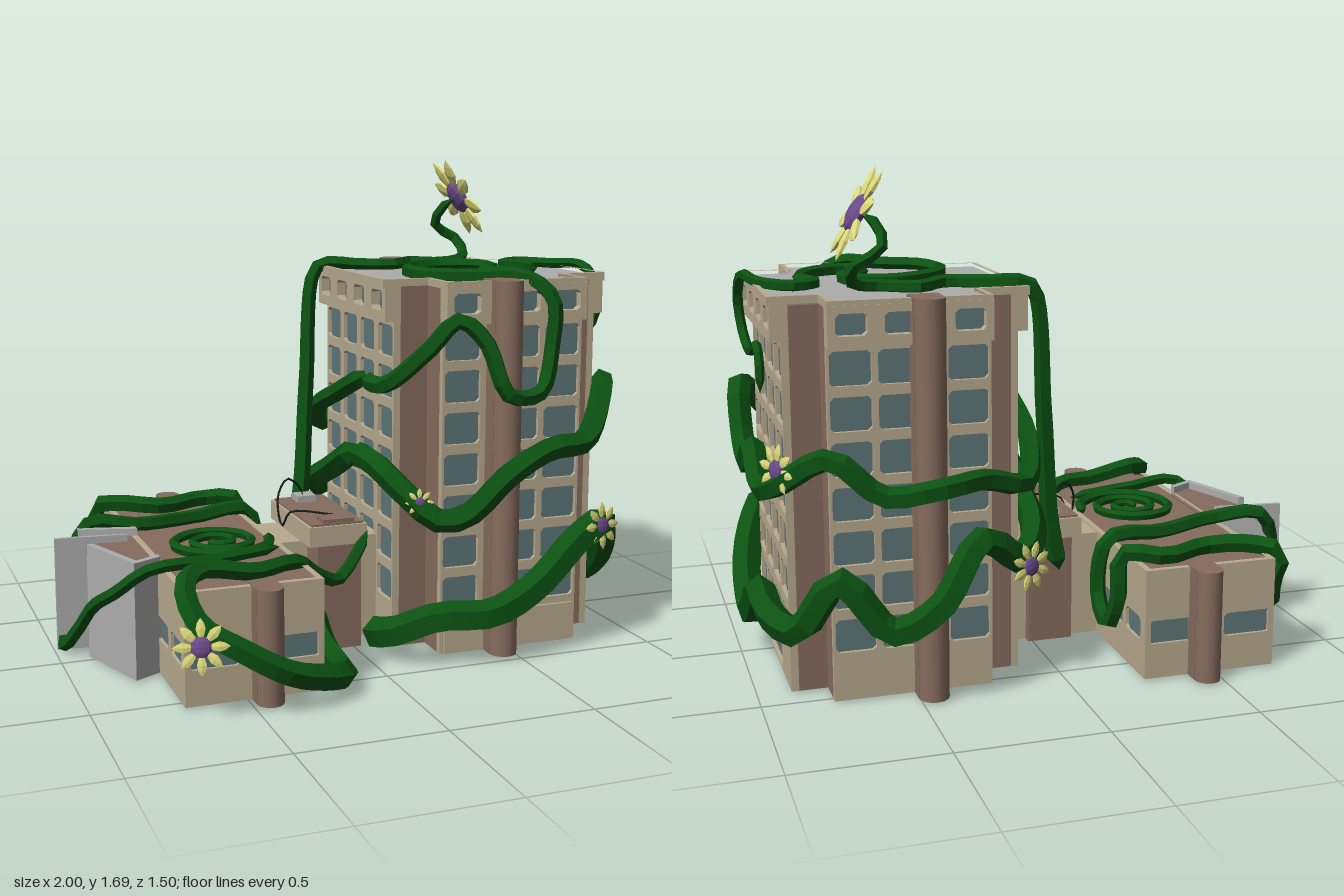
import * as THREE from 'three';

const mat = (color, extra = {}) => {
  const m = new THREE.MeshStandardMaterial({ flatShading: true, ...extra });
  m.color.set(color);
  return m;
};
const BEIGE = mat(0xb8aa8e), BROWN = mat(0x866c5e), GLASS = mat(0x5f777b), GREY = mat(0xadadad);
const VINE = mat(0x0c5212), PETAL = mat(0xdedb7c), PURPLE = mat(0x6b4a8a), DARK = mat(0x152018);

function add(parent, name, geo, material) {
  const m = new THREE.Mesh(geo, material);
  m.name = name;
  parent.add(m);
  return m;
}

// Box given by its limits on each axis
function block(parent, name, material, x0, x1, y0, y1, z0, z1) {
  const m = add(parent, name, new THREE.BoxGeometry(x1 - x0, y1 - y0, z1 - z0), material);
  m.position.set((x0 + x1) / 2, (y0 + y1) / 2, (z0 + z1) / 2);
  return m;
}

const path = (pts, C = THREE.Shape) => new C(pts.map(p => new THREE.Vector2(p[0], p[1])));
const rect = (x0, x1, y0, y1) => [[x0, y0], [x1, y0], [x1, y1], [x0, y1]];

// Plan outline [x, z] raised from y0 to y1
function prism(parent, name, material, plan, y0, y1, hole) {
  const s = path(plan.map(([x, z]) => [x, -z]));
  if (hole) s.holes.push(path(hole.map(([x, z]) => [x, -z]), THREE.Path));
  const g = new THREE.ExtrudeGeometry(s, { depth: y1 - y0, bevelEnabled: false });
  g.rotateX(-Math.PI / 2);
  const m = add(parent, name, g, material);
  m.position.y = y0;
  return m;
}

// Wall slab with window openings and glass set back inside them
function wall(parent, name, w, y0, y1, depth, openings, x, z, rot) {
  const g = new THREE.Group();
  g.name = name;
  const s = path(rect(-w / 2, w / 2, y0, y1));
  for (const [cx, ww, a, b] of openings) {
    const l = cx - ww / 2, r = cx + ww / 2, c = 0.012;
    s.holes.push(path([[l + c, a], [r - c, a], [r, a + c], [r, b - c], [r - c, b], [l + c, b], [l, b - c], [l, a + c]], THREE.Path));
    block(g, 'windowGlass', GLASS, l - 0.004, r + 0.004, a - 0.004, b + 0.004, 0, depth * 0.45);
  }
  add(g, 'wallPanel', new THREE.ExtrudeGeometry(s, { depth, bevelEnabled: false }), BEIGE);
  g.position.set(x, 0, z);
  g.rotation.y = rot;
  parent.add(g);
}

// Faceted tapering stem through a few points
function vine(parent, name, pts, r0, r1, material = VINE, sides = 5) {
  const curve = new THREE.CatmullRomCurve3(pts.map(p => new THREE.Vector3(...p)), false, 'centripetal');
  const seg = pts.length * 3;
  const geo = new THREE.TubeGeometry(curve, seg, 1, sides, false);
  const pos = geo.attributes.position, v = new THREE.Vector3();
  for (let i = 0; i <= seg; i++) {
    const c = curve.getPointAt(i / seg);
    const r = i === 0 || i === seg ? 0.001 : r0 + (r1 - r0) * i / seg;
    for (let j = 0; j <= sides; j++) {
      const k = i * (sides + 1) + j;
      v.fromBufferAttribute(pos, k).sub(c).multiplyScalar(r).add(c);
      pos.setXYZ(k, v.x, v.y, v.z);
    }
  }
  geo.computeVertexNormals();
  return add(parent, name, geo, material);
}

// Eight pointed petals round a domed centre, facing a given direction
function flower(parent, at, facing, r) {
  const g = new THREE.Group();
  g.name = 'flower';
  const profile = [[0, 0.2], [0.13, 0.4], [0.2, 0.62], [0.14, 0.82], [0, 1]].map(p => new THREE.Vector2(...p));
  for (let i = 0; i < 8; i++) {
    const p = add(g, 'petal', new THREE.LatheGeometry(profile, 6), PETAL);
    p.scale.set(r, r, r * 0.35);
    p.rotation.z = i * Math.PI / 4;
  }
  add(g, 'flowerCentre', new THREE.SphereGeometry(r * 0.38, 10, 6), PURPLE).scale.z = 0.4;
  g.position.set(...at);
  g.quaternion.setFromUnitVectors(new THREE.Vector3(0, 0, 1), new THREE.Vector3(...facing).normalize());
  parent.add(g);
}

// Round-fronted pier; dir is the way it bulges in z
function pier(parent, x, z, back, r, y0, y1) {
  const c = add(parent, 'pierRound', new THREE.CylinderGeometry(r, r, y1 - y0, 14), mat(0x866c5e, { flatShading: false }));
  c.position.set(x, (y0 + y1) / 2, z);
  block(parent, 'pierBody', BROWN, x - r, x + r, y0, y1, Math.min(z, back), Math.max(z, back));
}

const cross = (i) => {
  const [a, b, c, d] = [0.08 + i, 0.245 + i, 0.77 - i, 0.93 - i];
  const [e, f, g, h] = [-0.57 + i, -0.42 + i, 0.245 - i, 0.405 - i];
  return [[a, f], [b, f], [b, e], [c, e], [c, f], [d, f], [d, g], [c, g], [c, h], [b, h], [b, g], [a, g]];
};

function tower() {
  const t = new THREE.Group();
  t.name = 'tower';
  block(t, 'coreWide', BROWN, 0.145, 0.865, 0.03, 1.3, -0.42, 0.245);
  block(t, 'coreDeep', BROWN, 0.245, 0.77, 0.03, 1.3, -0.515, 0.35);
  const side = [-0.255, -0.085, 0.085, 0.255], front = [-0.188, 0.035, 0.188];
  const faces = [
    ['frontFacade', 0.525, front, 0.5075, 0.35, 0],
    ['backFacade', 0.525, front.map(v => -v), 0.5075, -0.515, Math.PI],
    ['leftFacade', 0.665, side, 0.865, -0.0875, Math.PI / 2],
    ['rightFacade', 0.665, side, 0.145, -0.0875, -Math.PI / 2],
  ];
  for (const [name, w, cols, x, z, rot] of faces) {
    const open = [], small = [];
    for (const c of cols) {
      for (let k = 0; k < 7; k++) open.push([c, 0.132, 1.055 - k * 0.144, 1.165 - k * 0.144]);
      small.push([c, 0.1, 1.215, 1.285]);
    }
    if (w > 0.6) open.push([0, 0.28, 0.04, 0.17]);
    wall(t, name, w, 0.03, 1.19, 0.025, open, x, z, rot);
    wall(t, name + 'Parapet', w, 1.18, 1.31, 0.058, small, x, z, rot);
  }
  block(t, 'frontBasePanel', BEIGE, 0.26, 0.755, 0.03, 0.165, 0.35, 0.385);
  prism(t, 'roof', GREY, cross(0.01), 1.295, 1.312);
  prism(t, 'roofRim', BEIGE, cross(0), 1.295, 1.325, cross(0.018));
  pier(t, 0.457, 0.435, 0.34, 0.05, 0.03, 1.328);
  pier(t, 0.457, -0.595, -0.5, 0.05, 0.03, 1.328);
  return t;
}

function annex() {
  const a = new THREE.Group();
  a.name = 'lowBuilding';
  block(a, 'core', BEIGE, -0.69, -0.265, 0.03, 0.385, -0.64, 0.54);
  const ends = [[-0.135, 0.17, 0.15, 0.23], [0.135, 0.17, 0.15, 0.23]];
  const long = [[-0.5, 0.13, 0.15, 0.23], [-0.3, 0.2, 0.15, 0.23], [0.3, 0.2, 0.15, 0.23], [0.5, 0.13, 0.15, 0.23]];
  wall(a, 'frontWall', 0.465, 0.03, 0.385, 0.02, ends, -0.4775, 0.54, 0);
  wall(a, 'backWall', 0.465, 0.03, 0.385, 0.02, ends, -0.4775, -0.64, Math.PI);
  wall(a, 'rightWall', 1.22, 0.03, 0.385, 0.02, long, -0.69, -0.05, -Math.PI / 2);
  wall(a, 'leftWall', 1.22, 0.03, 0.385, 0.02, long, -0.265, -0.05, Math.PI / 2);
  block(a, 'roof', BROWN, -0.7, -0.255, 0.38, 0.395, -0.65, 0.55);
  prism(a, 'roofRim', BEIGE, rect(-0.71, -0.245, -0.66, 0.56), 0.38, 0.405, rect(-0.688, -0.267, -0.638, 0.538));
  pier(a, -0.445, 0.61, 0.53, 0.045, 0.03, 0.41);
  pier(a, -0.445, -0.715, -0.63, 0.045, 0.03, 0.41);

  // Glazed porch with grey cheeks, canopy and fin
  prism(a, 'porchGlass', GLASS, [[-0.69, -0.17], [-0.86, -0.2], [-0.885, -0.08], [-0.79, 0.23], [-0.69, 0.19]], 0.03, 0.37);
  prism(a, 'porchCanopy', BROWN, [[-0.69, -0.17], [-0.87, -0.2], [-0.89, -0.08], [-0.79, 0.24], [-0.69, 0.19]], 0.37, 0.405);
  prism(a, 'porchBackCheek', GREY, [[-0.69, -0.195], [-0.89, -0.245], [-0.89, -0.22], [-0.69, -0.165]], 0.03, 0.43);
  prism(a, 'porchFrontCheek', GREY, [[-0.9, -0.02], [-0.8, 0.27], [-0.7, 0.215], [-0.7, 0.185], [-0.785, 0.235], [-0.875, -0.02]], 0.03, 0.43);
  prism(a, 'porchFin', GREY, [[-0.99, -0.14], [-0.74, -0.115], [-0.74, -0.1], [-0.99, -0.125]], 0.03, 0.43);
  return a;
}

function link() {
  const l = new THREE.Group();
  l.name = 'connector';
  block(l, 'passage', BEIGE, -0.26, 0.16, 0.03, 0.4, -0.19, 0.09);
  block(l, 'brownBay', BROWN, -0.14, 0.02, 0.03, 0.41, -0.22, 0.2);
  block(l, 'plantBox', BEIGE, -0.17, 0.04, 0.405, 0.475, -0.235, 0.205);
  block(l, 'plantBoxTop', BROWN, -0.16, 0.03, 0.47, 0.482, -0.225, 0.195);
  block(l, 'hatch', BROWN, -0.115, 0, 0.48, 0.495, 0.115, 0.19);
  block(l, 'roofUnit', GREY, -0.1, -0.03, 0.48, 0.505, -0.2, -0.13);
  vine(l, 'cable', [[-0.07, 0.5, -0.16], [-0.09, 0.54, -0.15], [-0.14, 0.575, -0.13], [-0.19, 0.52, -0.09], [-0.185, 0.42, -0.06],
    [-0.17, 0.485, 0], [-0.05, 0.485, 0.08], [0.01, 0.485, 0.14]], 0.004, 0.004, DARK);
  return l;
}

function plants() {
  const p = new THREE.Group();
  p.name = 'vines';
  // Tower vine: two turns up the walls, then over the roof
  vine(p, 'towerVineLower', [[0.03, 0.09, 0.22], [0.08, 0.13, 0.38], [0.2, 0.19, 0.46], [0.38, 0.2, 0.51], [0.56, 0.28, 0.49],
    [0.72, 0.41, 0.46], [0.84, 0.46, 0.42], [0.91, 0.38, 0.32], [0.95, 0.27, 0.2], [0.96, 0.17, 0.02], [0.96, 0.25, -0.14],
    [0.96, 0.33, -0.25], [0.95, 0.3, -0.42], [0.88, 0.28, -0.54], [0.76, 0.45, -0.61], [0.6, 0.28, -0.64], [0.45, 0.36, -0.68],
    [0.3, 0.55, -0.62], [0.15, 0.45, -0.54], [0.06, 0.5, -0.4], [0.04, 0.6, -0.15], [0.04, 0.72, 0.1]], 0.056, 0.046);
  vine(p, 'towerVineUpper', [[0.04, 0.7, 0.08], [0.05, 0.7, 0.24], [0.13, 0.6, 0.36], [0.22, 0.52, 0.42], [0.31, 0.54, 0.45],
    [0.43, 0.68, 0.51], [0.6, 0.75, 0.47], [0.77, 0.76, 0.42], [0.9, 0.89, 0.3], [0.95, 0.93, 0.21], [0.96, 0.77, 0.09],
    [0.96, 0.71, -0.04], [0.96, 0.8, -0.2], [0.96, 0.71, -0.38], [0.92, 0.75, -0.5], [0.78, 0.84, -0.6], [0.62, 0.72, -0.64],
    [0.45, 0.74, -0.68], [0.28, 0.74, -0.6], [0.13, 0.7, -0.53], [0.06, 0.8, -0.35], [0.05, 0.9, -0.08], [0.05, 0.99, 0.16]], 0.046, 0.034);
  vine(p, 'towerVineRoof', [[0.05, 0.98, 0.14], [0.07, 0.97, 0.28], [0.18, 1.1, 0.4], [0.28, 1.2, 0.43], [0.36, 1.13, 0.47],
    [0.43, 0.95, 0.51], [0.56, 0.95, 0.48], [0.62, 1.1, 0.44], [0.62, 1.26, 0.44], [0.55, 1.33, 0.38], [0.42, 1.33, 0.28],
    [0.29, 1.33, 0.2], [0.26, 1.33, 0.06], [0.33, 1.33, -0.1], [0.48, 1.33, -0.19], [0.61, 1.33, -0.14], [0.62, 1.33, -0.03],
    [0.53, 1.33, 0.08], [0.58, 1.33, 0.15], [0.7, 1.33, 0.1], [0.77, 1.33, -0.04], [0.73, 1.33, -0.17], [0.82, 1.33, -0.23],
    [0.91, 1.33, -0.12], [0.945, 1.33, 0.08], [0.95, 1.24, 0.16], [0.94, 1.14, 0.15], [0.93, 1.08, 0.06], [0.93, 1.1, -0.06],
    [0.93, 1.13, -0.15], [0.93, 1.08, -0.2], [0.93, 0.98, -0.2]], 0.032, 0.016);
  vine(p, 'flowerStem', [[-0.08, 0.3, -0.26], [-0.04, 0.5, -0.28], [0, 0.9, -0.33], [0.05, 1.31, -0.37], [0.1, 1.335, -0.37],
    [0.2, 1.33, -0.32], [0.33, 1.33, -0.27], [0.43, 1.33, -0.37], [0.55, 1.33, -0.31], [0.65, 1.35, -0.35],
    [0.65, 1.41, -0.42], [0.57, 1.46, -0.43], [0.57, 1.53, -0.38], [0.62, 1.57, -0.36]], 0.036, 0.018);

  // Low building vines
  vine(p, 'annexVineBack', [[-0.76, 0.17, -0.53], [-0.74, 0.3, -0.58], [-0.75, 0.41, -0.61], [-0.66, 0.43, -0.55], [-0.52, 0.42, -0.5],
    [-0.35, 0.42, -0.57], [-0.22, 0.42, -0.51], [-0.21, 0.26, -0.5], [-0.2, 0.15, -0.43], [-0.2, 0.22, -0.33],
    [-0.23, 0.42, -0.34], [-0.45, 0.42, -0.3], [-0.67, 0.43, -0.23], [-0.85, 0.44, -0.26], [-0.93, 0.25, -0.2], [-0.97, 0.05, -0.12],
    [-0.93, 0.15, 0], [-0.9, 0.25, 0.1], [-0.85, 0.33, 0.23], [-0.76, 0.42, 0.32], [-0.55, 0.42, 0.28], [-0.28, 0.42, 0.2]], 0.034, 0.02);
  vine(p, 'annexVineFront', [[-0.16, 0.22, 0.13], [-0.16, 0.1, 0.28], [-0.16, 0.07, 0.45], [-0.2, 0.09, 0.6], [-0.4, 0.15, 0.7],
    [-0.56, 0.24, 0.69], [-0.68, 0.32, 0.63], [-0.7, 0.42, 0.54], [-0.63, 0.45, 0.47], [-0.45, 0.42, 0.45], [-0.29, 0.42, 0.39],
    [-0.18, 0.34, 0.31], [-0.08, 0.3, 0.25], [0, 0.38, 0.22], [0.04, 0.45, 0.21]], 0.055, 0.02);
  const spiral = [];
  for (let i = 0; i <= 32; i++) {
    const a = i * 0.5, r = 0.185 * (1 - i / 36);
    spiral.push([-0.455 + r * Math.cos(a), 0.415, 0.045 + r * Math.sin(a)]);
  }
  vine(p, 'roofSpiral', spiral, 0.02, 0.014);

  flower(p, [0.635, 1.57, -0.37], [0.88, 0.47, 0], 0.17);
  flower(p, [0.82, 0.46, 0.47], [0.35, 0.1, 1], 0.085);
  flower(p, [0.15, 0.585, 0.41], [-0.3, 0.1, 1], 0.05);
  flower(p, [0.93, 0.8, -0.51], [1, 0.1, -0.55], 0.085);
  flower(p, [0.13, 0.44, -0.6], [-0.5, 0.1, -1], 0.085);
  flower(p, [-0.69, 0.27, 0.69], [-0.3, 0.2, 1], 0.09);
  return p;
}

export function createModel() {
  const model = new THREE.Group();
  model.name = 'overgrownBuilding';
  model.add(tower(), annex(), link(), plants());
  return model;
}
